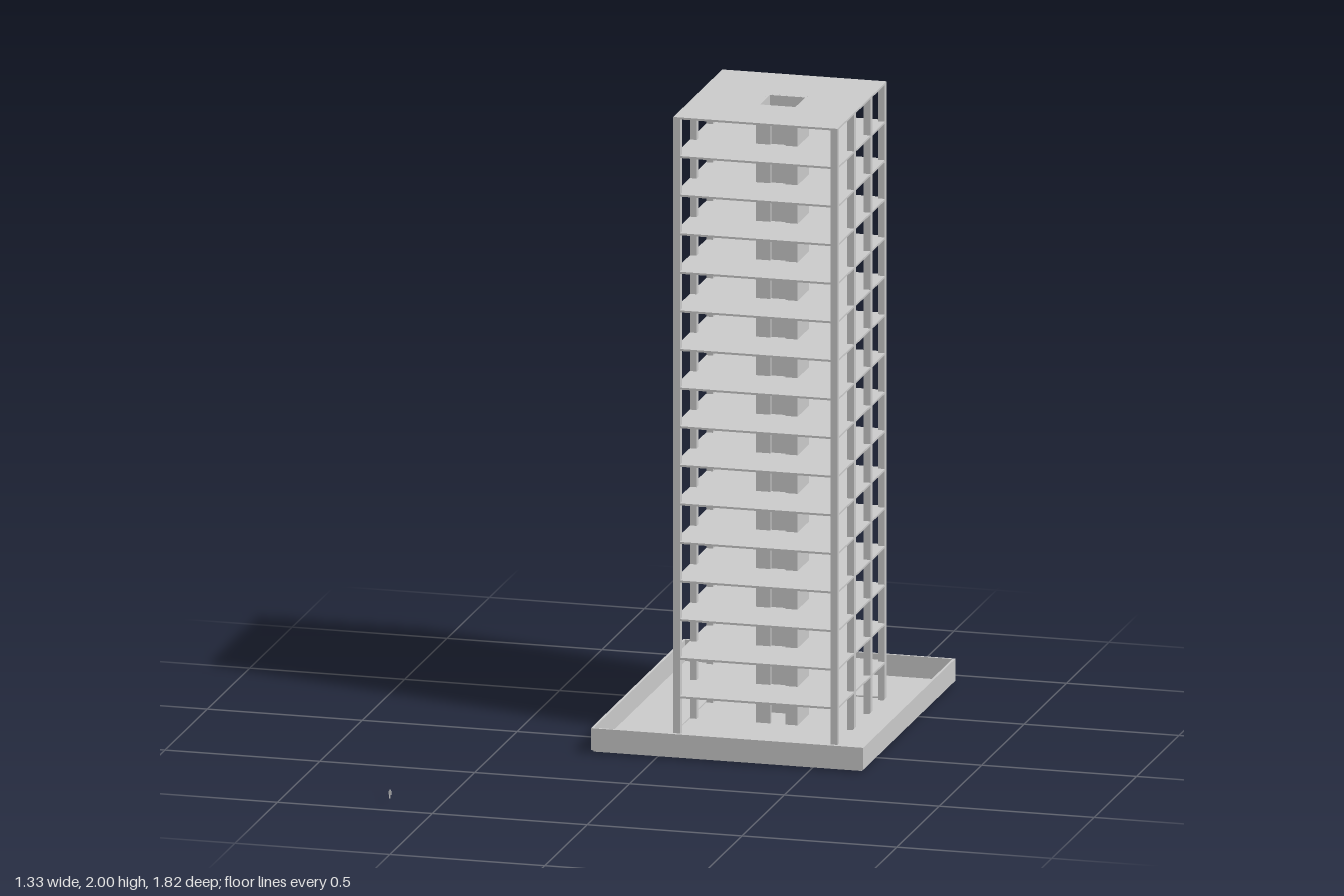
import * as THREE from 'three';

const material = new THREE.MeshStandardMaterial({ color: 0xcccccc, flatShading: true });

// Box given by its lower and upper corners
function box(name, x0, x1, y0, y1, z0, z1) {
  const g = new THREE.BoxGeometry(x1 - x0, y1 - y0, z1 - z0);
  g.translate((x0 + x1) / 2, (y0 + y1) / 2, (z0 + z1) / 2);
  const m = new THREE.Mesh(g, material);
  m.name = name;
  return m;
}

function rectPoints(x0, x1, y0, y1) {
  return [[x0, y0], [x1, y0], [x1, y1], [x0, y1]].map(p => new THREE.Vector2(...p));
}

// Horizontal rectangular plate with an optional rectangular hole; areas are [x0, x1, z0, z1]
function plate(name, area, hole, y0, y1) {
  const flip = ([x0, x1, z0, z1]) => rectPoints(x0, x1, -z1, -z0);
  const shape = new THREE.Shape(flip(area));
  if (hole) shape.holes.push(new THREE.Path(flip(hole)));
  const g = new THREE.ExtrudeGeometry(shape, { depth: y1 - y0, bevelEnabled: false });
  g.rotateX(-Math.PI / 2);
  g.translate(0, y0, 0);
  const m = new THREE.Mesh(g, material);
  m.name = name;
  return m;
}

const SITE = [-0.212, 0.667, -0.908, 0.182];
const TOWER = [-0.016, 0.514, -0.653, -0.073];
const CORE = [0.196, 0.33, -0.413, -0.277];
const FLOORS = 16, STEP = 0.1246, SLAB = 0.0065;
const inset = ([x0, x1, z0, z1], d) => [x0 + d, x1 - d, z0 + d, z1 - d];

export function createModel() {
  const model = new THREE.Group();

  // Site tray: a thin floor around the tower and an upright rim
  const site = new THREE.Group();
  site.name = 'siteBase';
  site.add(plate('siteFloor', inset(SITE, 0.007), TOWER, 0.003, 0.011));
  site.add(plate('siteRim', SITE, inset(SITE, 0.008), 0.009, 0.08));
  model.add(site);

  // Floor slabs, open around the core above ground
  const slabs = new THREE.Group();
  slabs.name = 'floorSlabs';
  for (let i = 0; i <= FLOORS; i++) {
    const y = i * STEP;
    slabs.add(plate(i === FLOORS ? 'roofSlab' : 'floorSlab', TOWER, i ? CORE : null, y, y + SLAB));
  }
  model.add(slabs);

  // Four columns along each side
  const columns = new THREE.Group();
  columns.name = 'columns';
  const w = 0.022, top = 1.9995;
  for (const x of [TOWER[0], TOWER[1] - w]) {
    for (const z of [TOWER[3] - w, -0.291, -0.485, TOWER[2]]) {
      columns.add(box('column', x, x + w, 0.001, top, z, z + w));
    }
  }
  model.add(columns);

  // Hollow lift core with a doorway on every floor of the front wall
  const core = new THREE.Group();
  core.name = 'liftCore';
  const [cx0, cx1, cz0, cz1] = CORE, t = 0.01;
  core.add(box('coreBackWall', cx0, cx1, 0.002, 2, cz0, cz0 + t));
  core.add(box('coreRightWall', cx0, cx0 + t, 0.002, 2, cz0 + t, cz1 - t));
  core.add(box('coreLeftWall', cx1 - t, cx1, 0.002, 2, cz0 + t, cz1 - t));
  const front = new THREE.Shape(rectPoints(cx0, cx1, 0.002, 2));
  for (let i = 0; i < FLOORS; i++) {
    const y = i * STEP + SLAB;
    front.holes.push(new THREE.Path(rectPoints(0.242, 0.291, y, y + 0.088)));
  }
  const frontGeometry = new THREE.ExtrudeGeometry(front, { depth: t, bevelEnabled: false });
  frontGeometry.translate(0, 0, cz1 - t);
  const frontWall = new THREE.Mesh(frontGeometry, material);
  frontWall.name = 'coreFrontWall';
  core.add(frontWall);
  model.add(core);

  // Tiny standing figure far out in front
  const figure = new THREE.Group();
  figure.name = 'scaleFigure';
  const fx = -0.6625, fz = 0.906;
  for (const s of [-1, 1]) {
    figure.add(box('leg', fx + s * 0.0013 - 0.001, fx + s * 0.0013 + 0.001, 0.012, 0.026, fz - 0.001, fz + 0.001));
    figure.add(box('arm', fx + s * 0.0037 - 0.0008, fx + s * 0.0037 + 0.0008, 0.024, 0.036, fz - 0.001, fz + 0.001));
  }
  figure.add(box('torso', fx - 0.003, fx + 0.003, 0.025, 0.037, fz - 0.002, fz + 0.002));
  const head = new THREE.Mesh(new THREE.SphereGeometry(0.002, 8, 6), material);
  head.name = 'head';
  head.scale.y = 1.3;
  head.position.set(fx, 0.039, fz);
  figure.add(head);
  model.add(figure);

  return model;
}
